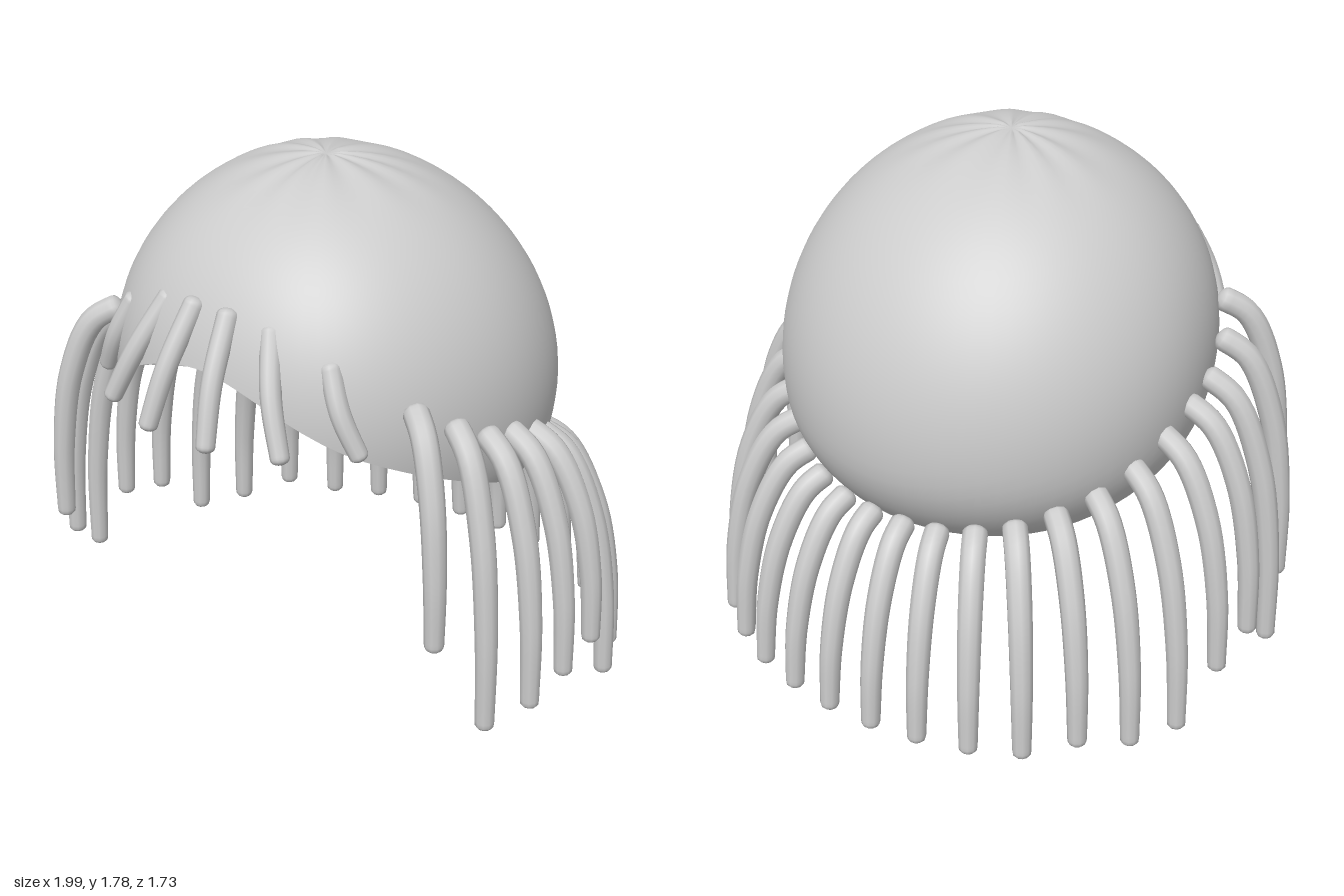
import * as THREE from 'three';
import { mergeVertices } from 'three/addons/utils/BufferGeometryUtils.js';

const rad = THREE.MathUtils.degToRad;

// Weld seams so shading stays smooth
function smooth(geometry) {
  geometry.deleteAttribute('uv');
  geometry.deleteAttribute('normal');
  const welded = mergeVertices(geometry, 1e-5);
  welded.computeVertexNormals();
  return welded;
}

// Polar angle of the cap rim for an azimuth measured from the front (every 45 degrees)
const rim = new THREE.SplineCurve(
  [91, 73, 91, 113, 134, 146, 134].map((a, i) => new THREE.Vector2((i - 1) * 45, a)));
const rimAngle = (az) => rim.getPoint((Math.abs(az) / 45 + 1) / 6).y;

// Point on the leaning, egg-like dome, fuller around the forehead
function domePoint(az, phi) {
  const tuck = 1 - 0.15 * Math.pow(Math.max(0, phi - 105) / 41, 1.5);
  const a = rad(az), p = rad(phi);
  const pleat = 1 + 0.006 * Math.sin(a * 11 + Math.sin(a * 3)) * Math.exp(-Math.pow((phi - 12) / 14, 2));
  const r = tuck * (phi > 0.1 ? pleat : 0.993);
  const dy = 0.73 * r * Math.cos(p);
  const bulge = Math.cos(a) > 0
    ? Math.sin(p) ** 2 * (0.025 * Math.cos(a) ** 2 + 0.035 * Math.sin(2 * a) ** 2) : 0;
  return new THREE.Vector3(
    0.725 * r * Math.sin(p) * Math.sin(a),
    1.05 + dy,
    0.01 + 0.11 * dy + 0.7 * r * Math.sin(p) * Math.cos(a) + bulge);
}

function capGeometry() {
  const g = new THREE.PlaneGeometry(1, 1, 72, 36);
  const pos = g.attributes.position, uv = g.attributes.uv;
  for (let i = 0; i < pos.count; i++) {
    const az = -180 + 360 * uv.getX(i);
    const v = domePoint(az, (1 - uv.getY(i)) * rimAngle(az));
    pos.setXYZ(i, v.x, v.y, v.z);
  }
  return smooth(g);
}

// Tapered tube with blunt rounded ends; rings crowd together towards the ends
function strandGeometry(points, rootRadius, tipRadius) {
  const ease = (u) => 0.5 - 0.5 * Math.cos(Math.PI * u);
  const curve = new THREE.CatmullRomCurve3(points.map((p) => new THREE.Vector3(...p)));
  const uniform = curve.getUtoTmapping.bind(curve);
  curve.getUtoTmapping = (u, distance) => uniform(ease(u), distance);
  const segments = 36, sides = 10, length = curve.getLength();
  const g = new THREE.TubeGeometry(curve, segments, 1, sides);
  const pos = g.attributes.position, v = new THREE.Vector3();
  for (let i = 0; i <= segments; i++) {
    const centre = curve.getPointAt(i / segments), t = ease(i / segments);
    const base = THREE.MathUtils.lerp(rootRadius, tipRadius, t * t);
    const d = Math.min(1, (Math.min(t, 1 - t) * length) / (0.65 * base));
    const r = base * Math.sqrt(Math.max(0, 1 - (1 - d) * (1 - d)));
    for (let j = 0; j <= sides; j++) {
      const k = i * (sides + 1) + j;
      v.fromBufferAttribute(pos, k).sub(centre).multiplyScalar(r).add(centre);
      pos.setXYZ(k, v.x, v.y, v.z);
    }
  }
  return smooth(g);
}

// Side and back strands: tip x, tip z, root y, root ratio, tip y on the left, tip y on the right
const DROOPING = [
  [0.79, 0.56, 1.205, 0.76, 0.47, 0.39],
  [0.89, 0.415, 1.13, 0.75, 0.14, 0.22],
  [0.95, 0.25, 1.055, 0.73, 0.16, 0.07],
  [0.965, 0.08, 1.015, 0.72, 0.2, 0.2],
  [0.955, -0.1, 0.96, 0.71, 0.23, 0.15],
  [0.91, -0.27, 0.89, 0.71, 0, 0],
  [0.83, -0.43, 0.825, 0.70, 0, 0],
  [0.72, -0.575, 0.775, 0.70, 0, 0.04],
  [0.58, -0.685, 0.73, 0.70, 0, 0],
  [0.425, -0.765, 0.70, 0.70, 0, 0],
  [0.255, -0.815, 0.68, 0.70, 0, 0],
  [0.086, -0.84, 0.675, 0.70, 0, 0],
];

// Fringe strands: root, then tip
const FRINGE = [
  [[0.065, 1.46, 0.645], [0.12, 1.06, 0.84]],
  [[0.20, 1.43, 0.61], [0.35, 1.06, 0.755]],
  [[0.39, 1.35, 0.57], [0.525, 1.06, 0.585]],
];

export function createModel() {
  const model = new THREE.Group();
  model.name = 'wig';
  const hair = new THREE.MeshStandardMaterial({ color: 0xcccccc, side: THREE.DoubleSide });
  hair.name = 'light grey hair';
  const add = (name, geometry) => {
    const mesh = new THREE.Mesh(geometry, hair);
    mesh.name = name;
    model.add(mesh);
  };

  add('hairCap', capGeometry());

  for (const side of [1, -1]) {
    const label = side > 0 ? 'left' : 'right';

    // Strands arching out of the cap and hanging down, rounder towards the front
    DROOPING.forEach(([x, z, rootY, ratio, leftY, rightY], i) => {
      const tipY = side > 0 ? leftY : rightY;
      const arch = 0.1 * Math.max(0, 1 - i / 9);
      const at = (out, drop) => {
        const s = THREE.MathUtils.lerp(ratio, 1, out);
        return [side * x * s, THREE.MathUtils.lerp(rootY, tipY, drop), z * s];
      };
      const path = [at(0, 0), at(0.34 + arch, 0.08), at(0.7 + arch, 0.32), at(0.92 + arch / 2, 0.65), at(1, 1)];
      add(`${label}Strand${i + 1}`, strandGeometry(path, 0.042, 0.031));
    });

    // Short strands over the forehead
    FRINGE.forEach(([root, tip], i) => {
      const mid = root.map((c, k) => (c + tip[k]) / 2 + (k === 2 ? 0.025 : 0));
      const points = [root, mid, tip].map(([x, y, z]) => [side * x, y, z]);
      add(`${label}FringeStrand${i + 1}`, strandGeometry(points, 0.035, 0.03));
    });
  }
  return model;
}
